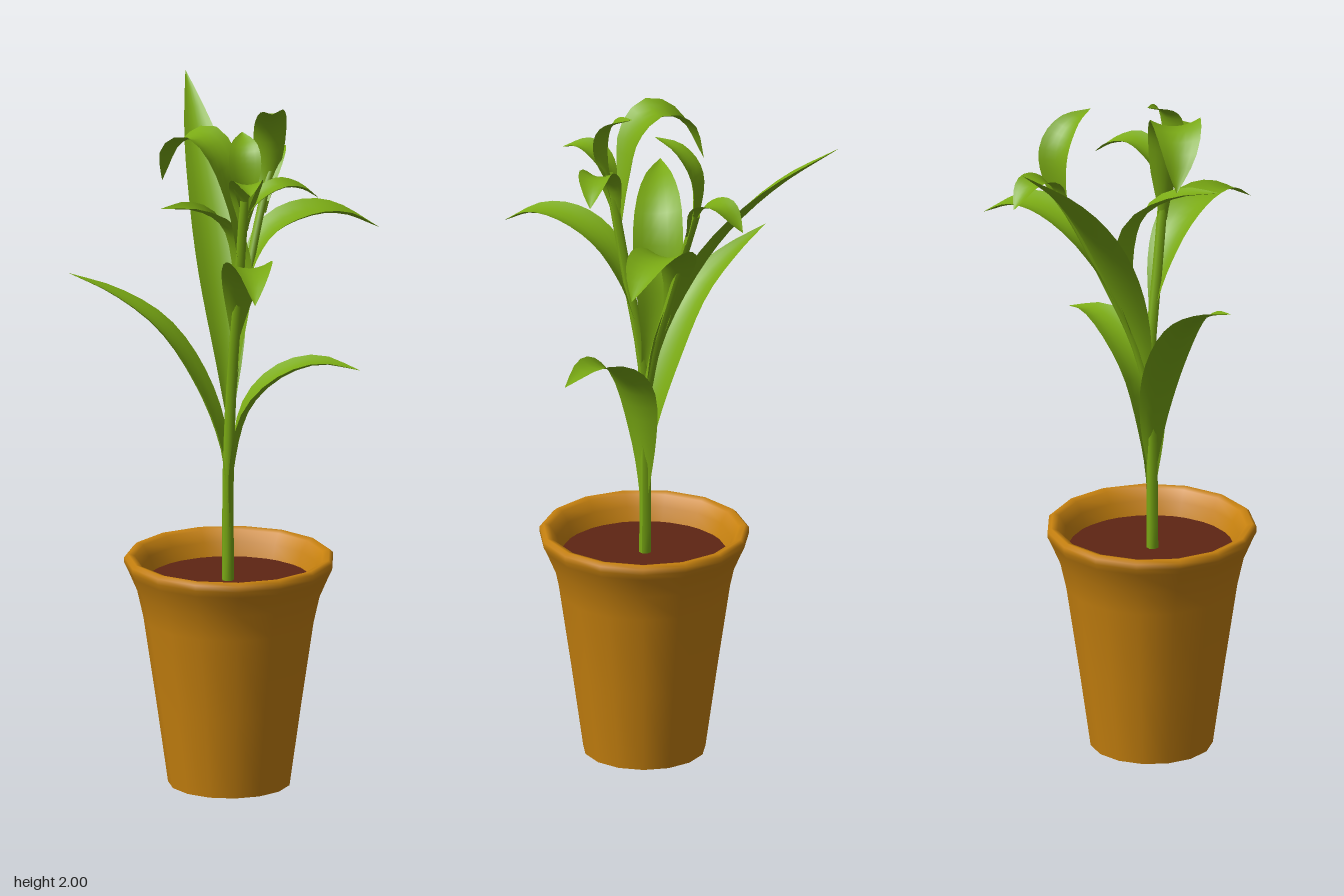
import * as THREE from 'three';

const green = new THREE.MeshStandardMaterial({ color: 0x7aaa14, side: THREE.DoubleSide });
const clay = new THREE.MeshStandardMaterial({ color: 0xc8820f });
const earth = new THREE.MeshStandardMaterial({ color: 0x5e2513 });

const curveOf = (pts) => new THREE.CatmullRomCurve3(pts.map((p) => new THREE.Vector3(...p)));

function add(parent, name, geometry, material) {
  const mesh = new THREE.Mesh(geometry, material);
  mesh.name = name;
  parent.add(mesh);
  return mesh;
}

// Tapering round stalk along a curve
function stalk(pts, r0, r1) {
  const rows = 14, sides = 7;
  const curve = curveOf(pts);
  const geo = new THREE.TubeGeometry(curve, rows, 1, sides);
  const pos = geo.attributes.position;
  const v = new THREE.Vector3();
  for (let i = 0; i < pos.count; i++) {
    const t = Math.floor(i / (sides + 1)) / rows;
    const c = curve.getPointAt(t);
    v.fromBufferAttribute(pos, i).sub(c).multiplyScalar(r0 + (r1 - r0) * t).add(c);
    pos.setXYZ(i, v.x, v.y, v.z);
  }
  geo.computeVertexNormals();
  return geo;
}

// Channelled blade along a curve: narrow at the root, widest past the middle, pointed at the tip
function blade(pts, width, widest = 0.55, cup = 0.3) {
  const rows = 16, cols = 6;
  const curve = curveOf(pts);
  const heading = curve.getPoint(1).sub(curve.getPoint(0)).setY(0).normalize();
  const across = new THREE.Vector3(0, 1, 0).cross(heading);
  const power = Math.log(0.5) / Math.log(widest);
  const verts = [], index = [];
  for (let i = 0; i <= rows; i++) {
    const t = i / rows;
    const p = curve.getPointAt(t), tangent = curve.getTangentAt(t);
    const side = across.clone().addScaledVector(tangent, -across.dot(tangent)).normalize();
    const up = tangent.clone().cross(side);
    const half = (width / 2) * Math.sin(Math.PI * Math.pow(t, power)) + 0.012 * (1 - t);
    for (let j = 0; j <= cols; j++) {
      const u = (j / cols) * 2 - 1;
      const q = p.clone().addScaledVector(side, u * half).addScaledVector(up, u * u * half * cup);
      verts.push(q.x, q.y, q.z);
      if (i < rows && j < cols) {
        const a = i * (cols + 1) + j, b = a + cols + 1;
        index.push(a, a + 1, b, a + 1, b + 1, b);
      }
    }
  }
  const geo = new THREE.BufferGeometry();
  geo.setAttribute('position', new THREE.Float32BufferAttribute(verts, 3));
  geo.setIndex(index);
  geo.computeVertexNormals();
  return geo;
}

export function createModel() {
  const model = new THREE.Group();
  model.name = 'pottedPlant';

  // Pot: flared wall with a rounded lip, flat base and soil
  const pot = new THREE.Group();
  pot.name = 'pot';
  pot.position.z = 0.08;
  model.add(pot);
  const wall = [
    [0.18, 0], [0.215, 0.25], [0.252, 0.5], [0.27, 0.58], [0.298, 0.645], [0.308, 0.665],
    [0.308, 0.682], [0.297, 0.692], [0.278, 0.686], [0.258, 0.655], [0.24, 0.6],
  ].map(([r, y]) => new THREE.Vector2(r, y));
  add(pot, 'potWall', new THREE.LatheGeometry(wall, 15), clay);
  add(pot, 'potBase', new THREE.CircleGeometry(0.18, 15, Math.PI / 2).rotateX(Math.PI / 2), clay);
  add(pot, 'soil', new THREE.CircleGeometry(0.246, 15, Math.PI / 2).rotateX(-Math.PI / 2), earth).position.y = 0.615;

  // Main stem and the branch leaning back
  const plant = new THREE.Group();
  plant.name = 'plant';
  model.add(plant);
  add(plant, 'mainStem', stalk([[-0.005, 0.6, 0.08], [-0.004, 0.95, 0.078], [0.005, 1.2, 0.08],
    [0.02, 1.5, 0.13], [0.035, 1.8, 0.18]], 0.018, 0.014), green);
  add(plant, 'branch', stalk([[0, 1.1, 0.075], [0.02, 1.27, 0.03], [0.055, 1.45, -0.04],
    [0.095, 1.62, -0.11], [0.14, 1.78, -0.18]], 0.014, 0.012), green);

  // Long leaves: path, width, widest point
  const leaves = {
    rightLowerLeaf: [[[-0.005, 0.85, 0.08], [-0.025, 1.02, 0.075], [-0.09, 1.2, 0.055], [-0.2, 1.37, 0.025],
      [-0.33, 1.465, -0.02], [-0.46, 1.52, -0.06]], 0.13, 0.5],
    leftLowerLeaf: [[[0.005, 0.75, 0.08], [0.012, 0.95, 0.085], [0.06, 1.14, 0.093], [0.15, 1.235, 0.1],
      [0.26, 1.275, 0.11], [0.38, 1.255, 0.125]], 0.145, 0.6],
    tallBackLeaf: [[[0, 1.12, 0.065], [0, 1.3, 0.015], [-0.01, 1.5, -0.08], [-0.025, 1.68, -0.2],
      [-0.05, 1.84, -0.35], [-0.075, 1.99, -0.54]], 0.14, 0.5],
    leftUpperLeaf: [[[0.045, 1.4, -0.02], [0.08, 1.53, -0.07], [0.14, 1.62, -0.105], [0.24, 1.665, -0.115],
      [0.34, 1.665, -0.125], [0.46, 1.61, -0.15]], 0.14, 0.6],
    frontLeaf: [[[0.015, 1.35, 0.1], [0.022, 1.47, 0.14], [0.03, 1.575, 0.21], [0.04, 1.63, 0.31],
      [0.042, 1.635, 0.42], [0.035, 1.58, 0.535]], 0.125, 0.55],
    curledMiddleLeaf: [[[0.005, 1.17, 0.075], [0.02, 1.35, 0.035], [0.025, 1.53, 0.015], [-0.01, 1.67, 0.035],
      [-0.1, 1.745, 0.09], [-0.21, 1.77, 0.15]], 0.14, 0.6],
    curledTopLeaf: [[[0.02, 1.62, 0.15], [0, 1.78, 0.14], [-0.04, 1.91, 0.13], [-0.09, 1.965, 0.09],
      [-0.15, 1.93, 0.04], [-0.19, 1.81, -0.01]], 0.14, 0.6],
  };
  for (const [name, args] of Object.entries(leaves)) add(plant, name, blade(...args), green);

  // Short leaflets at the two shoot tips
  const leaflets = {
    frontShootUprightLeaflet: [[[0.035, 1.76, 0.17], [0.035, 1.86, 0.195], [0.035, 1.945, 0.175], [0.035, 1.985, 0.1]], 0.085],
    frontShootForwardLeaflet: [[[0.035, 1.7, 0.165], [0.036, 1.82, 0.195], [0.038, 1.87, 0.26], [0.04, 1.855, 0.335]], 0.09],
    frontShootSideLeaflet: [[[0.03, 1.66, 0.155], [0.06, 1.775, 0.165], [0.14, 1.83, 0.16], [0.2, 1.82, 0.135], [0.26, 1.78, 0.11]], 0.09],
    backShootUprightLeaflet: [[[0.115, 1.67, -0.13], [0.138, 1.79, -0.17], [0.145, 1.9, -0.17], [0.142, 1.97, -0.115], [0.135, 1.995, -0.035]], 0.09],
    backShootRearLeaflet: [[[0.125, 1.7, -0.145], [0.14, 1.8, -0.2], [0.147, 1.82, -0.27], [0.15, 1.76, -0.345]], 0.09],
  };
  for (const [name, args] of Object.entries(leaflets)) add(plant, name, blade(...args, 0.6), green);

  return model;
}
